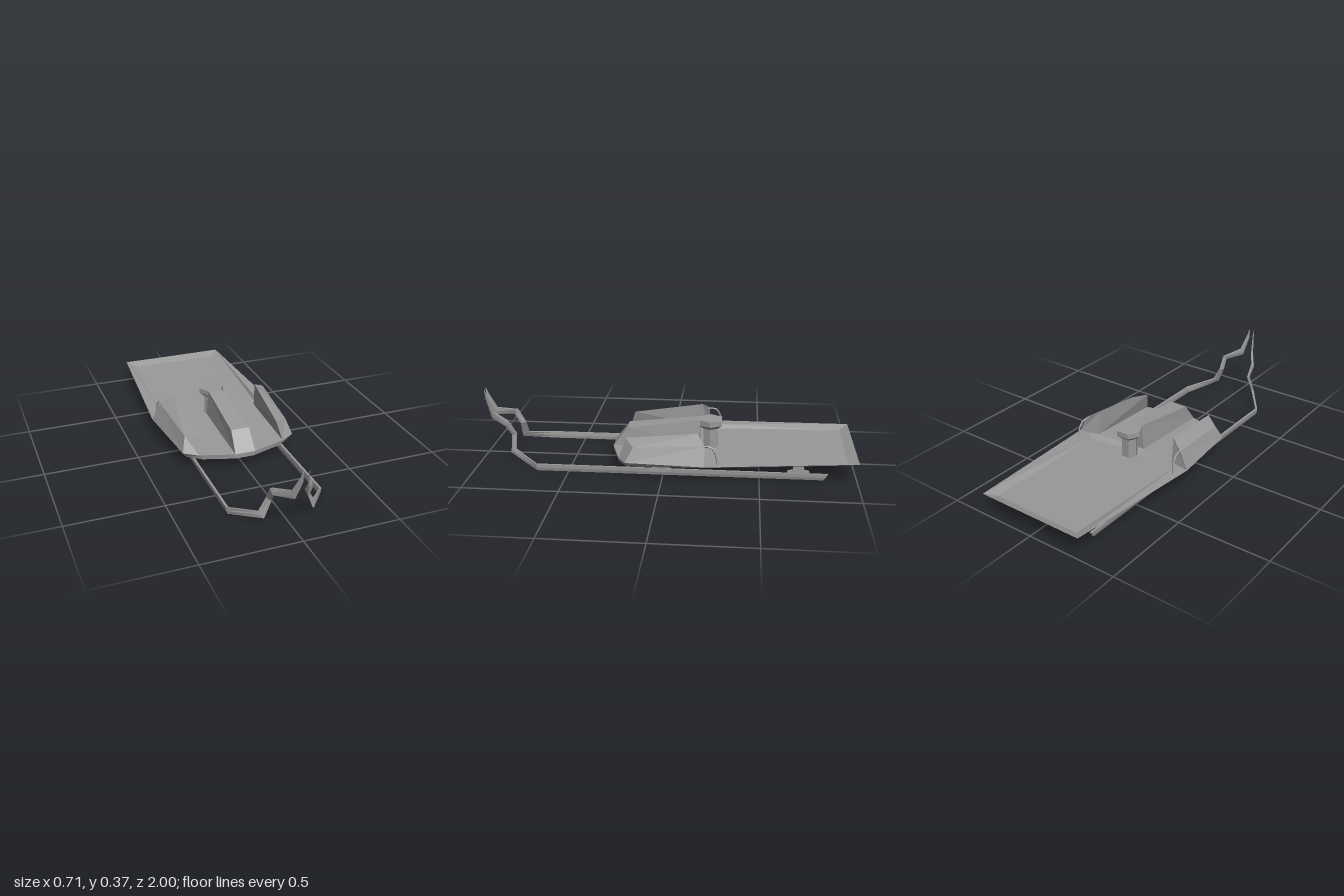
import * as THREE from 'three';

const material = new THREE.MeshStandardMaterial({ color: 0x999999, flatShading: true, side: THREE.DoubleSide });

function mesh(name, geometry) {
  const m = new THREE.Mesh(geometry, material);
  m.name = name;
  return m;
}

// Polygon faces given as loops of [x, y, z] corners, each fanned into triangles
function faces(loops) {
  const p = [];
  for (const l of loops)
    for (let i = 1; i < l.length - 1; i++) p.push(...l[0], ...l[i], ...l[i + 1]);
  const g = new THREE.BufferGeometry();
  g.setAttribute('position', new THREE.Float32BufferAttribute(p, 3));
  g.computeVertexNormals();
  return g;
}

// Skin between equal-length rings (counter-clockwise seen from the last ring's side)
function skin(rings) {
  const out = [];
  for (let r = 0; r < rings.length - 1; r++) {
    const a = rings[r], b = rings[r + 1], n = a.length;
    for (let i = 0; i < n; i++) {
      const j = (i + 1) % n;
      out.push([a[i], a[j], b[j], b[i]]);
    }
  }
  return out;
}
const solid = rings => faces([...skin(rings), [...rings[0]].reverse(), rings[rings.length - 1]]);

// Full outline from its +x half, running back to front
const flip = ([x, y, z]) => [-x, y, z];
const mirrorRing = half => [...half.map(flip), ...[...half].reverse()];

function hull() {
  const rim = [[0.3, 0.122, -1], [0.355, 0.1, -0.22], [0.31, 0.09, 0.19], [0.23, 0.087, 0.235], [0.055, 0.085, 0.287]];
  const base = [[0.25, 0.095, -0.95], [0.3, 0.073, -0.22], [0.288, 0.061, 0.18], [0.22, 0.06, 0.232], [0.05, 0.059, 0.285]];
  const top = mirrorRing(rim), bottom = mirrorRing(base);
  const g = new THREE.Group();
  g.name = 'hull';
  g.add(mesh('hullShell', faces([...skin([bottom, top]), [...bottom].reverse()])));

  // front deck, the step behind it and the sunken rear floor
  const stepTop = [[0.288, 0.101, -0.21], [0.05, 0.101, -0.18]];
  const stepLow = [[0.278, 0.079, -0.23], [0.05, 0.079, -0.205]];
  const rear = [0.25, 0.102, -0.95];
  const st = [...stepTop, ...stepTop.map(flip).reverse()];
  const sl = [...stepLow, ...stepLow.map(flip).reverse()];
  g.add(mesh('frontDeck', faces([[[0, 0.09, 0.1], ...top.slice(1, 9), ...st, top[1]]])));
  g.add(mesh('deckStep', faces([0, 1, 2].map(i => [st[i], st[i + 1], sl[i + 1], sl[i]]))));
  g.add(mesh('rearFloor', faces([[rear, flip(rear), ...[...sl].reverse()]])));
  // flat shoulder at each side, then the drop to the floor
  const side = [[rim[0], st[0], rim[1]], [rim[0], rear, sl[0], st[0]]];
  g.add(mesh('floorRim', faces([
    ...side, ...side.map(l => l.map(flip).reverse()),
    [rear, rim[0], flip(rim[0]), flip(rear)],
  ])));
  return g;
}

function runner() {
  // [upper edge, lower edge, half thickness] of the blade at each bend
  const bends = [
    [[0.245, 0.04, -0.85], [0.242, 0.005, -0.83], 0.006],
    [[0.245, 0.04, 0.67], [0.242, 0.003, 0.67], 0.006],
    [[0.137, 0.075, 0.804], [0.127, 0.053, 0.835], 0.008],
    [[0.098, 0.15, 0.808], [0.092, 0.142, 0.836], 0.007],
    [[0.1, 0.221, 0.85], [0.098, 0.193, 0.87], 0.007],
    [[0.039, 0.25, 0.948], [0.033, 0.212, 0.96], 0.007],
    [[0.019, 0.335, 0.985], [0.014, 0.315, 0.995], 0.004],
    [[0.016, 0.37, 0.997], [0.015, 0.365, 1], 0.001],
  ];
  // flat top, straight upper flanks and a narrow keel
  const rings = bends.map(([u, l, w]) => {
    const m = u.map((v, k) => v + (l[k] - v) * 0.55);
    const at = (p, s) => [p[0] + s * w, p[1], p[2]];
    return [at(u, -1), at(m, -1), at(l, -0.35), at(l, 0.35), at(m, 1), at(u, 1)];
  });
  return mesh('runner', solid(rings));
}

// Stepped foot joining a runner to the hull; height is where it meets the hull
function bracket(z, low, height) {
  const s = new THREE.Shape();
  [[-0.06, 0], [0.06, 0], [0.055, 0.014], [0.03, 0.02], [0.025, height - low],
    [-0.025, height - low], [-0.03, 0.02], [-0.055, 0.014]].forEach(([u, v], i) => s[i ? 'lineTo' : 'moveTo'](u, v));
  const m = mesh('runnerBracket', new THREE.ExtrudeGeometry(s, { depth: 0.018, bevelEnabled: false }));
  m.rotation.y = Math.PI / 2;
  m.position.set(0.237, low, z);
  return m;
}

function sidePod() {
  return mesh('sidePod', solid([
    [[0.245, 0.098, -0.2], [0.24, 0.237, -0.18], [0.31, 0.195, -0.22], [0.355, 0.1, -0.22]],
    [[0.235, 0.086, 0.233], [0.208, 0.19, 0.2], [0.285, 0.168, 0.15], [0.31, 0.09, 0.19]],
  ]));
}

// Slim strap from the back of the pod down to the hull edge
function strap() {
  const path = new THREE.CatmullRomCurve3([
    new THREE.Vector3(0.3, 0.19, -0.21), new THREE.Vector3(0.305, 0.19, -0.25),
    new THREE.Vector3(0.309, 0.16, -0.274), new THREE.Vector3(0.314, 0.095, -0.288),
  ]);
  return mesh('strap', new THREE.TubeGeometry(path, 6, 0.005, 4));
}

function centreFairing() {
  const ring = (b, t, yb, yt, zb, zt) => [[-b, yb, zb], [b, yb, zb], [t, yt, zt], [-t, yt, zt]];
  return mesh('centreFairing', solid([
    ring(0.05, 0.037, 0.095, 0.237, -0.18, -0.18),
    ring(0.055, 0.05, 0.085, 0.188, 0.287, 0.21),
  ]));
}

// Six-sided pedestal with a wider cap
function pedestal() {
  const g = new THREE.Group();
  g.name = 'pedestal';
  const part = (name, rTop, rLow, y0, y1) => {
    const m = mesh(name, new THREE.CylinderGeometry(rTop, rLow, y1 - y0, 6));
    m.rotation.y = Math.PI / 6;
    m.position.set(0, (y0 + y1) / 2, -0.236);
    g.add(m);
  };
  part('pedestalPost', 0.043, 0.043, 0.08, 0.2);
  part('capUnderside', 0.07, 0.046, 0.188, 0.208);
  part('pedestalCap', 0.07, 0.07, 0.208, 0.237);
  return g;
}

export function createModel() {
  const model = new THREE.Group();
  model.name = 'sled';
  model.add(hull(), centreFairing(), pedestal());

  const left = new THREE.Group();
  left.name = 'leftSide';
  left.add(runner(), bracket(0.01, 0.025, 0.072), bracket(-0.7, 0.038, 0.092), sidePod(), strap());
  const right = left.clone();
  right.name = 'rightSide';
  right.scale.x = -1;
  model.add(left, right);
  return model;
}
